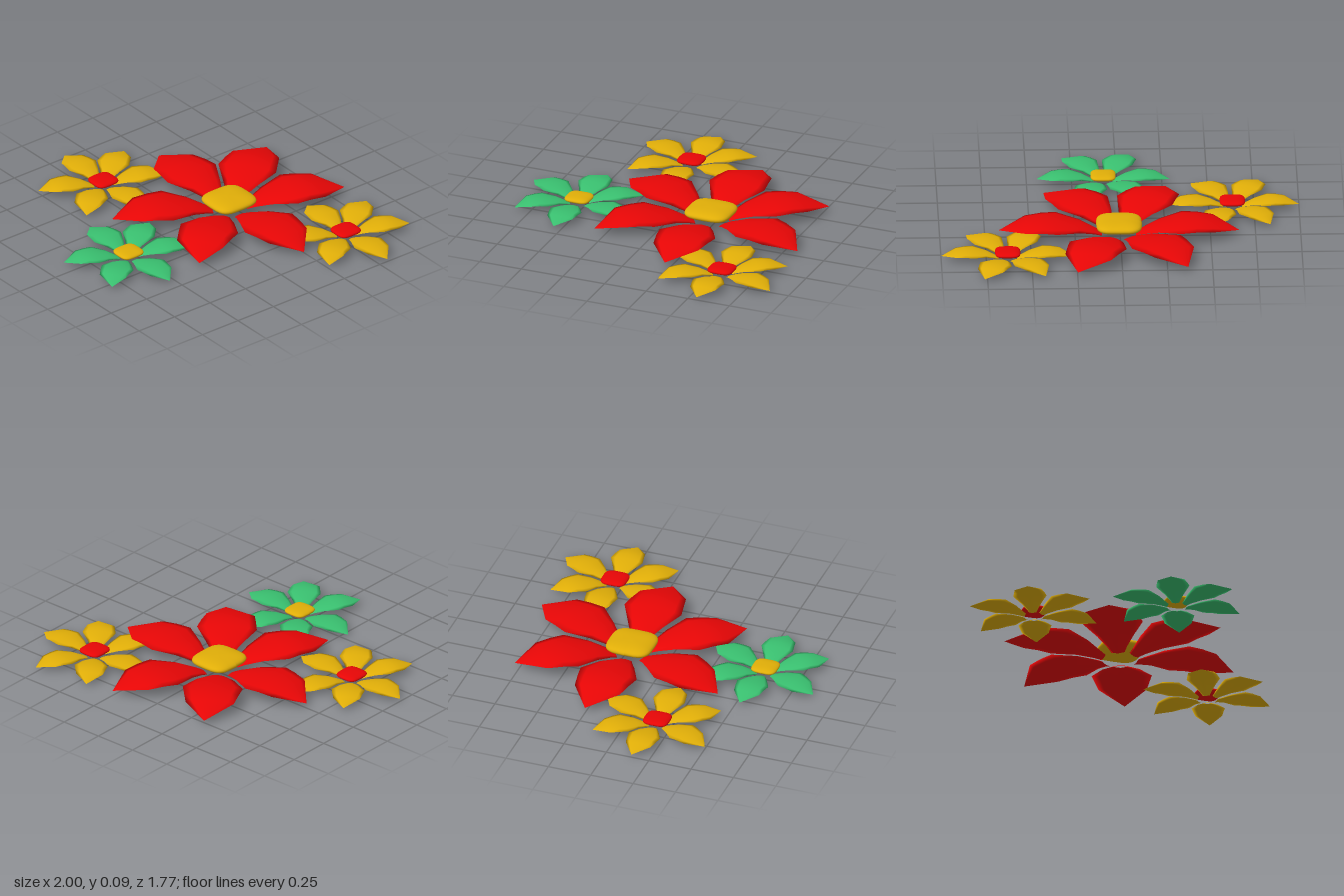
import * as THREE from 'three';

const mat = (name, color) => {
  const m = new THREE.MeshStandardMaterial({ color });
  m.name = name;
  return m;
};

// Petal stations: distance from flower centre, half width, ridge, edge and keel heights
const STATIONS = [
  [0.095, 0.037, 0.012, 0.006, 0],
  [0.135, 0.055, 0.034, 0.022, 0.006],
  [0.22, 0.102, 0.066, 0.05, 0.022],
  [0.348, 0.167, 0.088, 0.069, 0.046],
  [0.43, 0.152, 0.09, 0.071, 0.054],
  [0.518, 0.134, 0.082, 0.064, 0.052],
  [0.667, 0, 0.03, 0.03, 0.03],
];

// Petal directions in degrees: [axis, tip]; the tips bend slightly sideways
const PETALS = [[0.8, 0.3], [69.3, 68.7], [125, 123.6], [178.5, 177.3], [244.5, 245.7], [303.7, 307.5]];

// Closed petal with a domed top and a keeled underside, lofted through the stations
function petalGeometry([axis, tip]) {
  const HALF = 8, RING = HALF * 2, LAST = STATIONS.length - 1;
  const pos = [], index = [];
  STATIONS.forEach(([r, half, ridge, edge, keel], i) => {
    const a = THREE.MathUtils.degToRad(i === LAST ? tip : axis);
    for (let j = 0; j < RING; j++) {
      const top = j <= HALF;
      const t = top ? (j / HALF) * 2 - 1 : 3 - (j / HALF) * 2;
      const y = top ? edge + (ridge - edge) * (1 - t * t) : edge - (edge - keel) * (1 - Math.abs(t));
      pos.push(
        r * Math.cos(a) - t * half * Math.sin(a),
        y,
        -r * Math.sin(a) - t * half * Math.cos(a)
      );
    }
  });
  for (let i = 0; i < LAST; i++) {
    for (let j = 0; j < RING; j++) {
      const p = i * RING + j, q = i * RING + ((j + 1) % RING);
      index.push(p, q + RING, q);
      // The last band is a fan that closes at the tip
      if (i < LAST - 1) index.push(p, p + RING, q + RING);
    }
  }
  const g = new THREE.BufferGeometry();
  g.setAttribute('position', new THREE.Float32BufferAttribute(pos, 3));
  g.setIndex(index);
  g.computeVertexNormals();
  return g;
}

// Cushion: a sphere squared off towards a rounded box
function centreGeometry() {
  const g = new THREE.SphereGeometry(1, 32, 16);
  const p = g.attributes.position;
  const square = (v, e) => Math.sign(v) * Math.pow(Math.abs(v), e);
  for (let i = 0; i < p.count; i++) {
    const y = p.getY(i);
    const ring = Math.sqrt(Math.max(0, 1 - y * y));
    const c = ring > 1e-6 ? p.getX(i) / ring : 0;
    const s = ring > 1e-6 ? p.getZ(i) / ring : 0;
    const k = Math.pow(ring, 0.75);
    p.setXYZ(i, 0.127 * k * square(c, 0.55), 0.062 + 0.03 * square(y, 0.9), 0.133 * k * square(s, 0.55));
  }
  g.computeVertexNormals();
  return g;
}

export function createModel() {
  const red = mat('red', 0xe80606);
  const gold = mat('gold', 0xe0ae08);
  const green = mat('green', 0x39bf6f);
  const petals = PETALS.map(petalGeometry);
  const centre = centreGeometry();
  const model = new THREE.Group();
  model.name = 'flowers';

  function addFlower(name, x, z, scale, petalMat, centreMat) {
    const flower = new THREE.Group();
    flower.name = name;
    petals.forEach((g, i) => {
      const petal = new THREE.Mesh(g, petalMat);
      petal.name = `petal${i + 1}`;
      flower.add(petal);
    });
    const cushion = new THREE.Mesh(centre, centreMat);
    cushion.name = 'flowerCentre';
    flower.add(cushion);
    flower.position.set(x, 0, z);
    flower.scale.setScalar(scale);
    model.add(flower);
  }

  addFlower('largeRedFlower', 0.006, -0.22, 1, red, gold);
  addFlower('backGoldFlower', 0.631, -0.55, 0.553, gold, red);
  addFlower('sideGoldFlower', -0.631, 0.165, 0.553, gold, red);
  addFlower('frontGreenFlower', 0.075, 0.543, 0.553, green, gold);
  return model;
}
